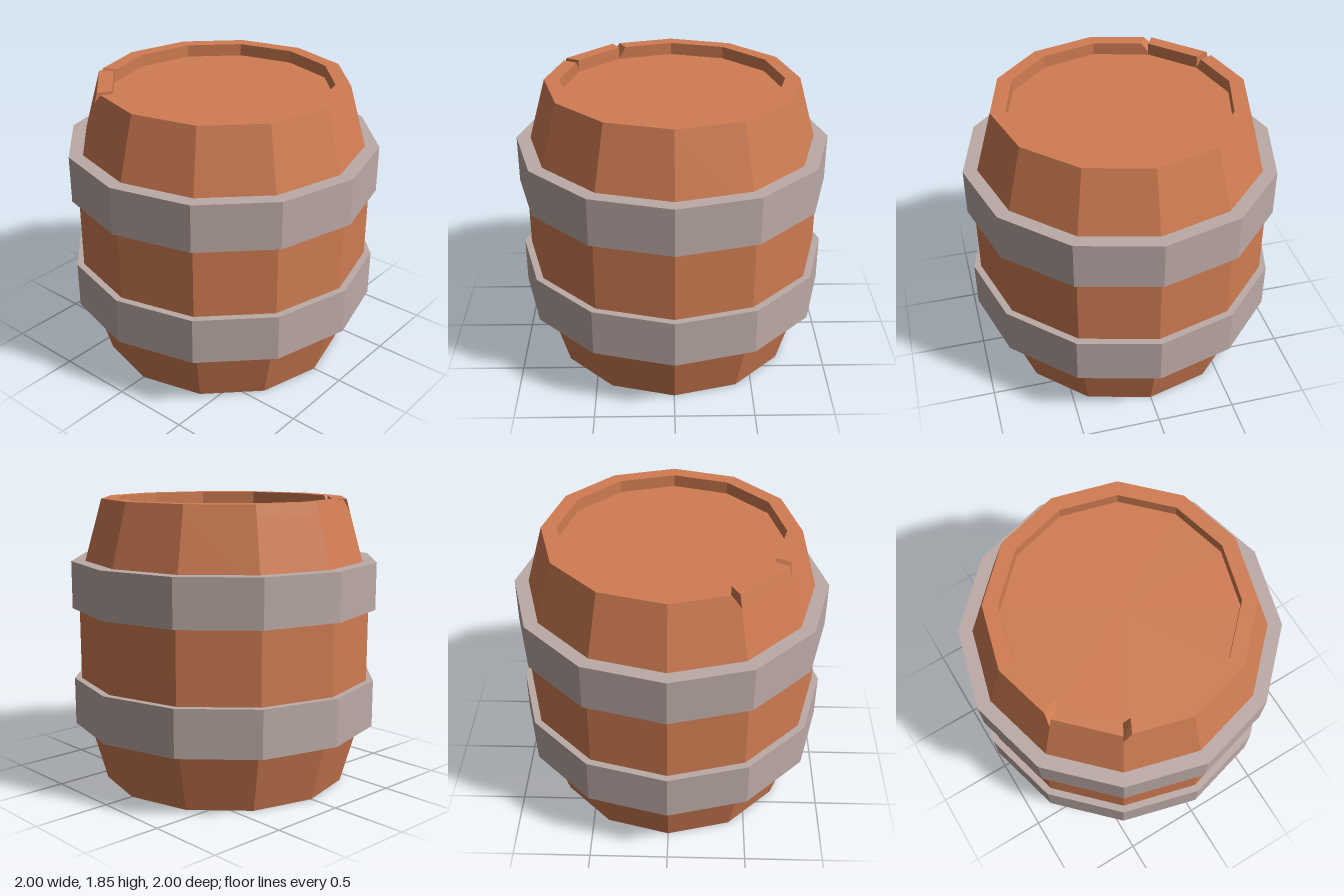
import * as THREE from 'three';

const SIDES = 12;
const HEIGHT = 1.85, FLOOR = 1.77, INNER = 0.705, END = 0.8, SLOPE = 0.282;

// point on the twelve-sided ring; t counts corners and may be fractional
function ringPoint(t, r, y) {
  const corner = (i) => {
    const a = (i / SIDES) * Math.PI * 2;
    return new THREE.Vector3(Math.sin(a) * r, y, Math.cos(a) * r);
  };
  const i = Math.floor(t);
  return corner(i).lerp(corner(i + 1), t - i);
}

// faceted lathe from [radius, y] pairs
function facetedLathe(profile) {
  const points = profile.map(([r, y]) => new THREE.Vector2(r, y));
  const geometry = new THREE.LatheGeometry(points, SIDES).toNonIndexed();
  geometry.computeVertexNormals();
  return geometry;
}

// raised rim with two V-shaped cracks beside one stave
function rimGeometry() {
  const stations = [];
  for (let i = 0; i <= SIDES; i++) {
    if (i === 7) stations.push([6.88, HEIGHT], [7, FLOOR], [7, HEIGHT]);
    else if (i === 8) stations.push([8, HEIGHT], [8, FLOOR + 0.02], [8.12, HEIGHT]);
    else stations.push([i, HEIGHT]);
  }
  const outer = (y) => END + (HEIGHT - y) * SLOPE;
  const sections = stations.map(([t, y]) => [
    ringPoint(t, outer(FLOOR), FLOOR),
    ringPoint(t, outer(y), y),
    ringPoint(t, INNER, y),
    ringPoint(t, INNER, FLOOR),
  ]);
  const points = [];
  const addTriangle = (a, b, c) => {
    if (new THREE.Triangle(a, b, c).getArea() > 1e-6) points.push(a, b, c);
  };
  for (let s = 0; s < sections.length - 1; s++) {
    const a = sections[s], b = sections[s + 1];
    for (let j = 0; j < 3; j++) {
      addTriangle(a[j], b[j], b[j + 1]);
      addTriangle(a[j], b[j + 1], a[j + 1]);
    }
  }
  const geometry = new THREE.BufferGeometry().setFromPoints(points);
  geometry.computeVertexNormals();
  return geometry;
}

export function createModel() {
  const wood = new THREE.MeshStandardMaterial({ color: 0xd07c52 });
  wood.name = 'wood';
  const metal = new THREE.MeshStandardMaterial({ color: 0xbcaaa6 });
  metal.name = 'metal';

  const barrel = new THREE.Group();
  barrel.name = 'barrel';
  const add = (name, geometry, material) => {
    const mesh = new THREE.Mesh(geometry, material);
    mesh.name = name;
    barrel.add(mesh);
  };

  // staves with recessed bottom and lid
  add('body', facetedLathe([
    [0, 0.08], [INNER, 0.08], [INNER, 0], [END, 0], [0.955, 0.55],
    [0.955, 1.3], [END + (HEIGHT - FLOOR) * SLOPE, FLOOR], [INNER, FLOOR], [0, FLOOR],
  ]), wood);
  add('crackedRim', rimGeometry(), wood);

  // hoops
  [['lowerHoop', 0.39], ['upperHoop', 1.155]].forEach(([name, y]) => {
    const top = y + 0.303;
    add(name, facetedLathe([[0.9, y], [1, y], [1, top], [0.9, top]]), metal);
  });

  return barrel;
}
